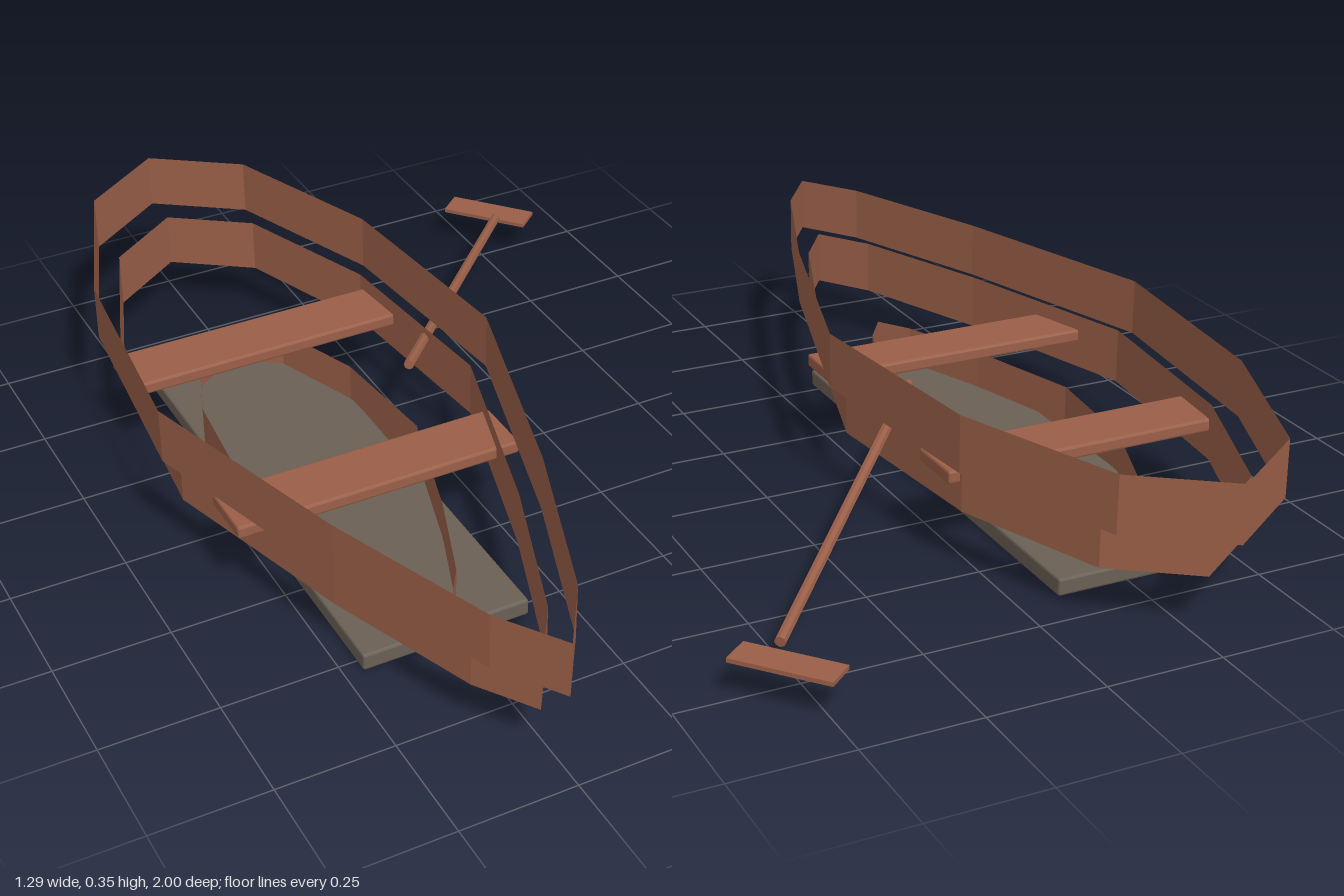
import * as THREE from 'three';
import { RoundedBoxGeometry } from 'three/addons/geometries/RoundedBoxGeometry.js';

const CX = -0.276; // centre line of the boat

export function createModel() {
  const model = new THREE.Group();
  model.name = 'rowingBoat';

  const wood = new THREE.MeshStandardMaterial({ color: 0x9a5f48, flatShading: true, side: THREE.DoubleSide });
  wood.name = 'redBrownWood';
  const darkWood = new THREE.MeshStandardMaterial({ color: 0x6a6055, flatShading: true });
  darkWood.name = 'greyBrownWood';

  const add = (parent, name, geometry, material, x, y, z) => {
    const mesh = new THREE.Mesh(geometry, material);
    mesh.name = name;
    mesh.position.set(x, y, z);
    parent.add(mesh);
    return mesh;
  };

  // Open twelve-sided plank ring, narrowed towards the bow
  const plankRing = (scale, height) => {
    const geometry = new THREE.CylinderGeometry(1, 1, height, 12, 1, true);
    const p = geometry.attributes.position;
    for (let i = 0; i < p.count; i++) {
      const z = p.getZ(i);
      const taper = 1 - 0.6 * Math.max(z, 0);
      p.setX(i, p.getX(i) * taper * 0.375 * scale);
      p.setZ(i, z * scale);
    }
    geometry.computeVertexNormals();
    return geometry;
  };

  // Hull: three stepped rings, from the bottom up
  const hull = new THREE.Group();
  hull.name = 'hull';
  model.add(hull);
  [
    ['lowerPlanks', 0.55, 0.003, 0.125],
    ['middlePlanks', 0.9, 0.116, 0.24],
    ['upperPlanks', 1, 0.228, 0.352],
  ].forEach(([name, scale, y0, y1]) =>
    add(hull, name, plankRing(scale, y1 - y0), wood, CX, (y0 + y1) / 2, 0));

  // Floor board
  add(model, 'floorBoard', new RoundedBoxGeometry(0.37, 0.038, 1.195, 1, 0.005), darkWood, CX, 0.019, -0.064);

  // Bench seats, their ends passing through the hull
  [['frontSeat', 0.184], ['rearSeat', -0.377]].forEach(([name, z]) =>
    add(model, name, new RoundedBoxGeometry(0.636, 0.029, 0.134, 1, 0.005), wood, CX, 0.191, z));

  // Oar: sloping shaft with a flat blade across its end
  const oar = new THREE.Group();
  oar.name = 'oar';
  model.add(oar);
  const handle = new THREE.Vector3(-0.052, 0.237, -0.07);
  const tip = new THREE.Vector3(0.54, 0.097, -0.752);
  const along = tip.clone().sub(handle);
  const mid = handle.clone().add(tip).multiplyScalar(0.5);
  const shaft = add(oar, 'oarShaft', new THREE.CylinderGeometry(0.0115, 0.0115, along.length(), 8), wood, mid.x, mid.y, mid.z);
  shaft.quaternion.setFromUnitVectors(new THREE.Vector3(0, 1, 0), along.normalize());
  const blade = add(oar, 'oarBlade', new THREE.BoxGeometry(0.212, 0.009, 0.068), wood, 0.549, 0.0825, -0.806);
  blade.rotation.y = -0.864;

  return model;
}
